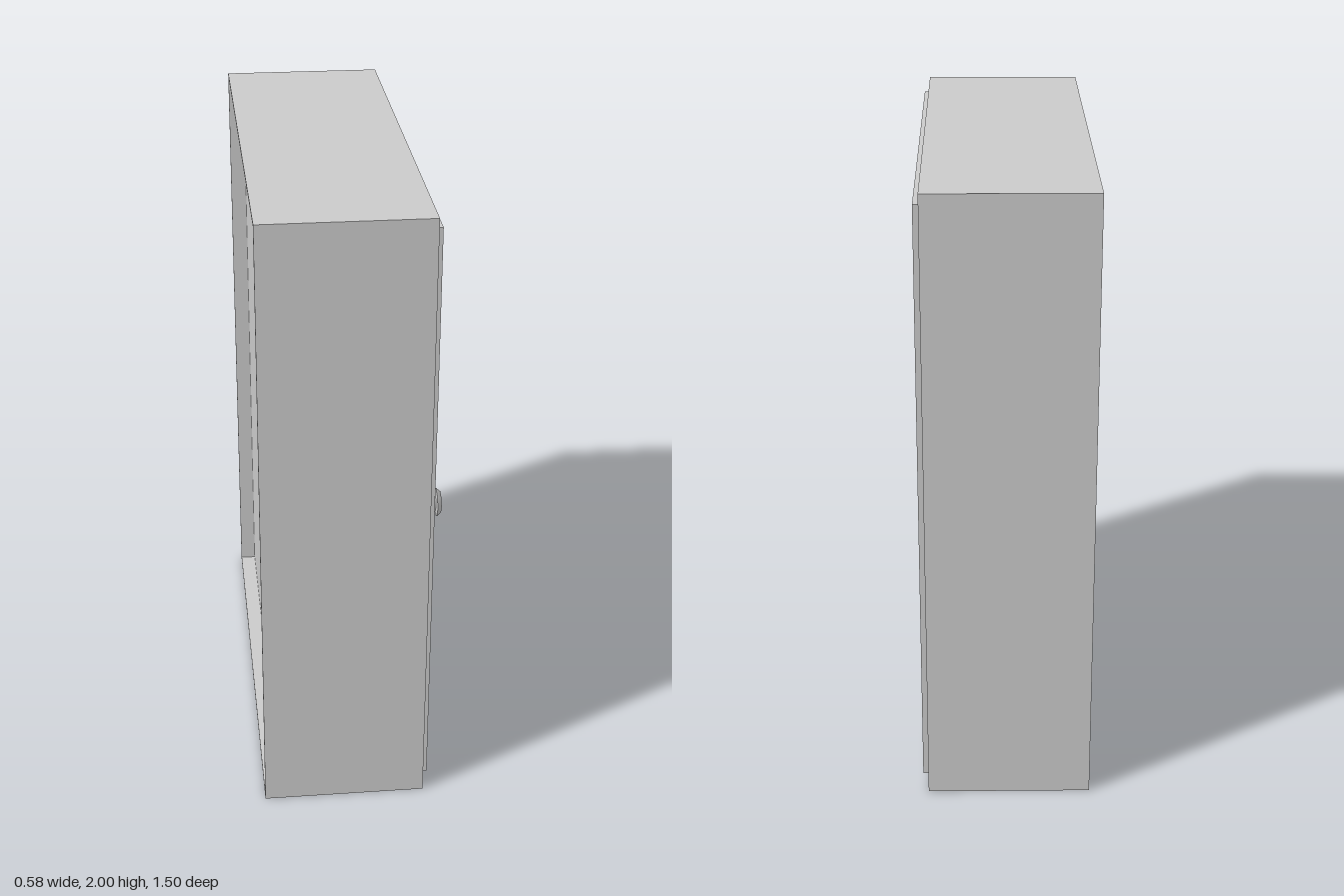
import * as THREE from 'three';

const material = new THREE.MeshStandardMaterial({ color: 0xcccccc });

// Upright rectangular ring facing +x, spanning x0..x1, centred at y = 1
function frame(name, width, height, rim, x0, x1) {
  const rect = (Type, w, h) => new Type([
    new THREE.Vector2(-w / 2, -h / 2), new THREE.Vector2(w / 2, -h / 2),
    new THREE.Vector2(w / 2, h / 2), new THREE.Vector2(-w / 2, h / 2),
  ]);
  const shape = rect(THREE.Shape, width, height);
  shape.holes.push(rect(THREE.Path, width - 2 * rim, height - 2 * rim));
  const geometry = new THREE.ExtrudeGeometry(shape, { depth: x1 - x0, bevelEnabled: false });
  geometry.rotateY(Math.PI / 2).translate(x0, 1, 0);
  const mesh = new THREE.Mesh(geometry, material);
  mesh.name = name;
  return mesh;
}

// Solid board spanning x0..x1, centred at y = 1
function board(name, width, height, x0, x1) {
  const geometry = new THREE.BoxGeometry(x1 - x0, height, width);
  geometry.translate((x0 + x1) / 2, 1, 0);
  const mesh = new THREE.Mesh(geometry, material);
  mesh.name = name;
  return mesh;
}

export function createModel() {
  const group = new THREE.Group();
  group.name = 'wallCabinet';

  // Cabinet: thin outer shell with a back panel set in from the rear edge
  const wall = 0.008;
  group.add(frame('cabinetShell', 1.5, 2, wall, -0.29, 0.23));
  group.add(board('cabinetCore', 1.5 - 2 * wall, 2 - 2 * wall, -0.237, 0.23));

  // Door: raised frame around a shallow sunken panel
  const rim = 0.06;
  group.add(frame('doorFrame', 1.42, 1.915, rim, 0.228, 0.248));
  group.add(board('doorPanel', 1.42 - 2 * rim, 1.915 - 2 * rim, 0.228, 0.238));

  // Knob: short stem, flared cap with a gently domed face
  const knob = new THREE.Group();
  knob.name = 'doorKnob';
  const turned = (name, points) => {
    const profile = points.map(([r, y]) => new THREE.Vector2(r, y));
    const mesh = new THREE.Mesh(new THREE.LatheGeometry(profile, 8), material);
    mesh.name = name;
    knob.add(mesh);
  };
  turned('knobStem', [[0.029, 0], [0.029, 0.035]]);
  turned('knobCapBack', [[0, 0.029], [0.029, 0.029], [0.048, 0.032]]);
  turned('knobCapFace', [[0.048, 0.032], [0.036, 0.046], [0, 0.05]]);
  knob.rotation.z = -Math.PI / 2;
  knob.position.set(0.238, 1, 0.59);
  group.add(knob);

  return group;
}
